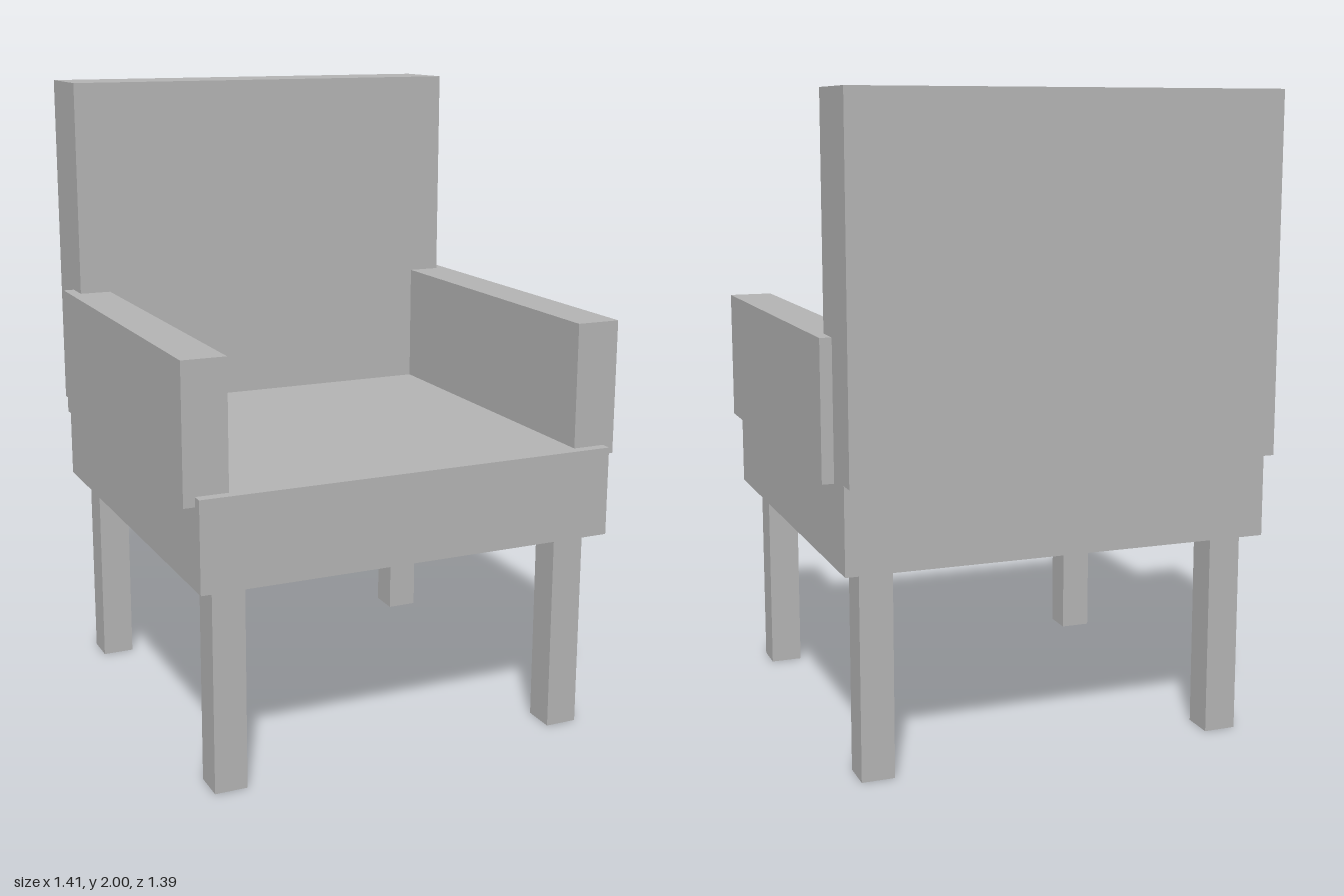
import * as THREE from 'three';

export function createModel() {
  const chair = new THREE.Group();
  chair.name = 'armchair';
  const grey = new THREE.MeshStandardMaterial({ color: 0xb2b2b2 });
  grey.name = 'plain grey';

  // Box given by its [min, max] range on each axis
  function slab(name, [x0, x1], [y0, y1], [z0, z1]) {
    const mesh = new THREE.Mesh(new THREE.BoxGeometry(x1 - x0, y1 - y0, z1 - z0), grey);
    mesh.position.set((x0 + x1) / 2, (y0 + y1) / 2, (z0 + z1) / 2);
    mesh.name = name;
    chair.add(mesh);
  }

  // Seat and backrest
  slab('seat', [-0.67, 0.668], [0.64, 0.92], [-0.64, 0.697]);
  slab('backrest', [-0.67, 0.668], [0.905, 2], [-0.697, -0.45]);

  // Armrests overhang the sides of the seat
  slab('leftArmrest', [0.564, 0.704], [0.89, 1.31], [-0.538, 0.663]);
  slab('rightArmrest', [-0.705, -0.569], [0.89, 1.31], [-0.538, 0.663]);

  // Four square legs
  for (const [side, x] of [['Left', 0.563], ['Right', -0.569]]) {
    for (const [end, z] of [['front', 0.596], ['back', -0.538]]) {
      slab(end + side + 'Leg', [x - 0.051, x + 0.051], [0, 0.641], [z - 0.052, z + 0.052]);
    }
  }
  return chair;
}
